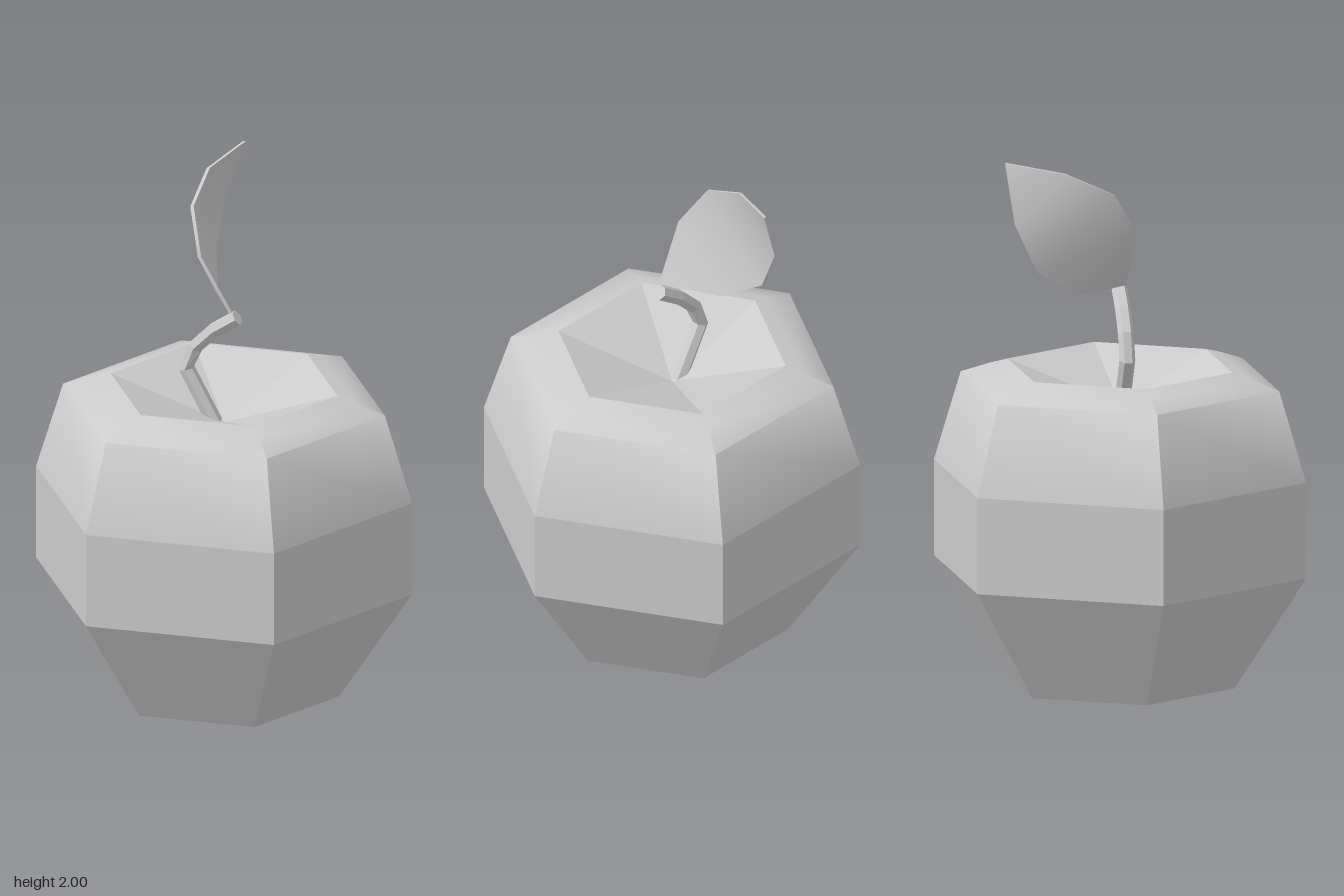
import * as THREE from 'three';
import { toCreasedNormals } from 'three/addons/utils/BufferGeometryUtils.js';

const V = (x, y, z) => new THREE.Vector3(x, y, z);

function addMesh(parent, name, geometry, options = {}) {
  const mesh = new THREE.Mesh(geometry, new THREE.MeshStandardMaterial({ color: 0xcccccc, ...options }));
  mesh.name = name;
  parent.add(mesh);
}

// Six-sided turned shape with corners on the x axis
function hexLathe(profile) {
  return new THREE.LatheGeometry(profile.map(([r, y]) => new THREE.Vector2(r, y)), 6, Math.PI / 2);
}

function indexed(points, index) {
  const g = new THREE.BufferGeometry().setFromPoints(points);
  g.setIndex(index);
  return g;
}

// Hexagonal stalk swept along a bent path, capped at the top
function stemGeometry(path, side, radius, sides) {
  const points = [], index = [];
  path.forEach((p, i) => {
    const t = path[Math.min(i + 1, path.length - 1)].clone().sub(path[Math.max(i - 1, 0)]).normalize();
    const n = side.clone().addScaledVector(t, -side.dot(t)).normalize();
    const b = t.clone().cross(n);
    for (let j = 0; j < sides; j++) {
      const a = (j / sides) * Math.PI * 2;
      points.push(p.clone().addScaledVector(n, radius * Math.cos(a)).addScaledVector(b, radius * Math.sin(a)));
      if (i === 0) continue;
      const k = (j + 1) % sides, lo = (i - 1) * sides, hi = i * sides;
      index.push(lo + j, lo + k, hi + k, lo + j, hi + k, hi + j);
    }
  });
  const top = (path.length - 1) * sides;
  for (let j = 1; j < sides - 1; j++) index.push(top, top + j, top + j + 1);
  return indexed(points, index);
}

// Thin curved blade: a strip between two edges, with a back and a rim
function leafGeometry(base, right, left, tip, thickness) {
  const outline = [base, ...right, tip, ...[...left].reverse()];
  const n = outline.length, half = n / 2;
  const back = V(-0.58, -0.17, -0.79).multiplyScalar(thickness);
  const points = [...outline, ...outline.map(p => p.clone().add(back))];
  const index = [];
  const tri = (a, b, c) => index.push(a, b, c, n + a, n + c, n + b);
  for (let i = 0; i < half; i++) {
    const l0 = (n - i) % n, l1 = n - i - 1;
    if (i < half - 1) tri(l0, i + 1, l1);
    if (i > 0) tri(l0, i, i + 1);
  }
  for (let i = 0; i < n; i++) {
    const k = (i + 1) % n;
    index.push(i, n + i, n + k, i, n + k, k);
  }
  return toCreasedNormals(indexed(points, index).toNonIndexed(), 0.9);
}

export function createModel() {
  const fruit = new THREE.Group();
  fruit.name = 'fruit';

  // Faceted body, with hollows at the bottom and the top
  addMesh(fruit, 'lowerBody', hexLathe([[0, 0.08], [0.445, 0], [0.724, 0.435], [0.724, 0.8]]), { flatShading: true });
  addMesh(fruit, 'topHollow', hexLathe([[0.437, 1.2], [0, 1.05]]), { flatShading: true });

  // Shoulder rolls over smoothly but keeps its upright ridges
  const shoulder = hexLathe([[0.724, 0.8], [0.62, 1.14], [0.5, 1.182], [0.437, 1.2]]);
  addMesh(fruit, 'shoulder', toCreasedNormals(shoulder, THREE.MathUtils.degToRad(56)));

  // Bent stem
  const path = [V(-0.01, 1.02, -0.02), V(-0.068, 1.25, -0.128), V(-0.053, 1.34, -0.097), V(-0.022, 1.415, -0.03), V(0.018, 1.478, 0.053)];
  addMesh(fruit, 'stem', stemGeometry(path, V(0.89, 0, -0.46), 0.03, 6), { flatShading: true });

  // Single leaf growing from the stem tip
  const right = [V(0.125, 1.495, -0.155), V(0.24, 1.6, -0.282), V(0.315, 1.78, -0.31)];
  const left = [V(-0.075, 1.72, -0.045), V(-0.02, 1.88, -0.14), V(0.145, 1.965, -0.22)];
  addMesh(fruit, 'leaf', leafGeometry(V(-0.005, 1.5, 0.05), right, left, V(0.37, 2, -0.255), 0.013), { side: THREE.DoubleSide });

  return fruit;
}
